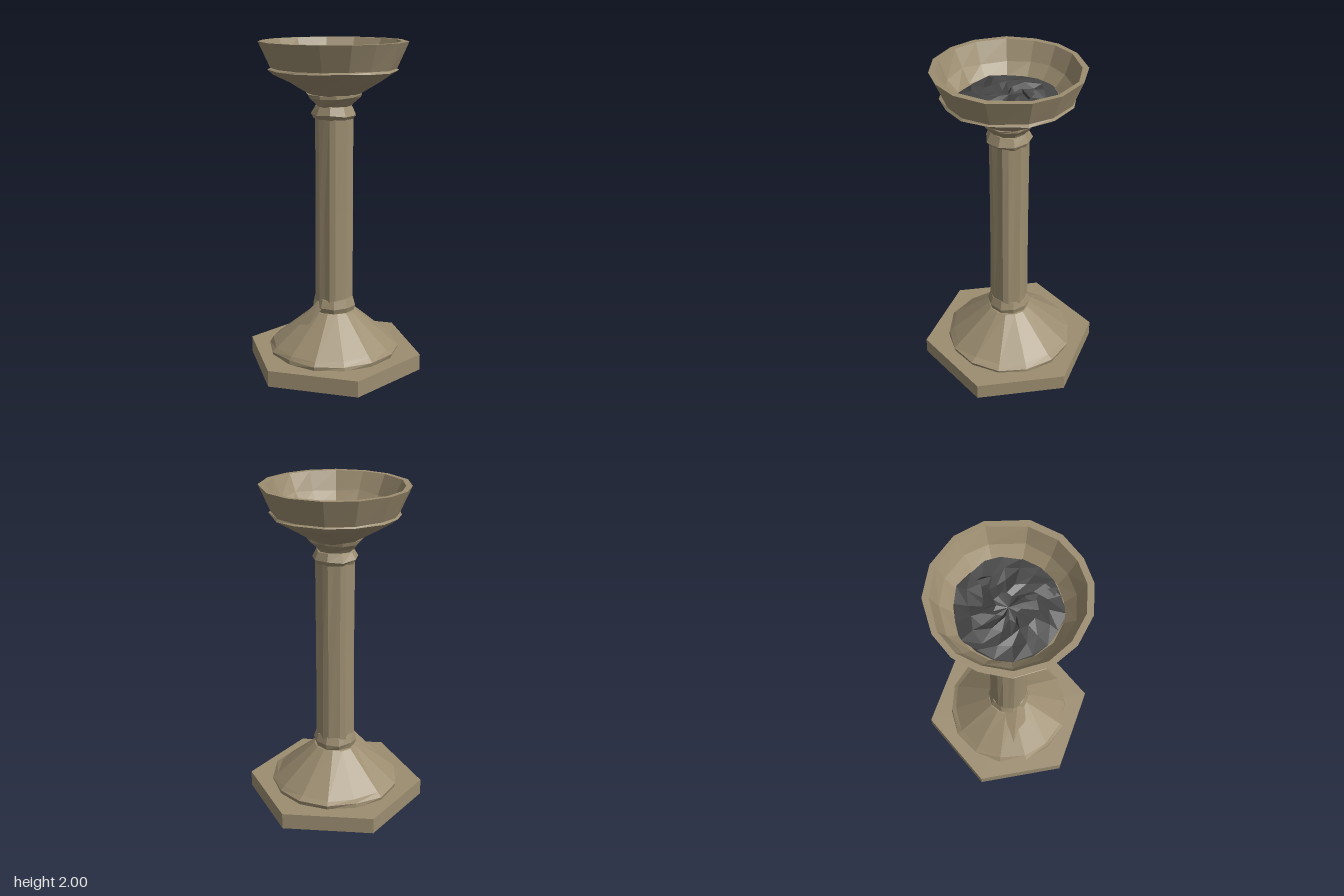
import * as THREE from 'three';
import { ConvexGeometry } from 'three/addons/geometries/ConvexGeometry.js';

const stone = new THREE.MeshStandardMaterial({ color: 0x9c8d70 });
stone.name = 'weathered stone';
const charcoal = new THREE.MeshStandardMaterial({ color: 0x454545 });
charcoal.name = 'charcoal';

// Small seeded generator giving values in -1..1
function seeded(seed) {
  let s = seed;
  return () => {
    s = (s * 16807) % 2147483647;
    return (s / 2147483647) * 2 - 1;
  };
}

// Evenly spaced angles in degrees
const even = (n, start = 0) => Array.from({ length: n }, (_, i) => start + (i * 360) / n);

// Faceted, chipped ring stack. Profile entries: [radius, y, radiusJitter, yJitter]
function chippedRings(profile, angles, seed, radiusRule = () => 1) {
  const rnd = seeded(seed);
  const n = angles.length;
  const pos = [];
  const index = [];
  profile.forEach(([r, y, jr = 0, jy = 0], i) => {
    angles.forEach((deg, j) => {
      const a = THREE.MathUtils.degToRad(deg);
      const rr = r === 0 ? 0 : r * radiusRule(j) + rnd() * jr;
      pos.push(Math.cos(a) * rr, y + (r === 0 ? 0 : rnd() * jy), Math.sin(a) * rr);
      if (i === profile.length - 1) return;
      const a0 = i * n + j;
      const b0 = i * n + ((j + 1) % n);
      index.push(a0, a0 + n, b0, b0, a0 + n, b0 + n);
    });
  });
  const indexed = new THREE.BufferGeometry();
  indexed.setAttribute('position', new THREE.Float32BufferAttribute(pos, 3));
  indexed.setIndex(index);
  const geo = indexed.toNonIndexed();
  geo.computeVertexNormals();
  return geo;
}

export function createModel() {
  const group = new THREE.Group();
  group.name = 'stoneBrazier';
  const add = (name, geo, mat = stone) => {
    const mesh = new THREE.Mesh(geo, mat);
    mesh.name = name;
    group.add(mesh);
    return mesh;
  };

  // Hexagonal plinth with points towards front and back
  const plinth = new THREE.CylinderGeometry(0.55, 0.55, 0.1, 6).toNonIndexed();
  plinth.computeVertexNormals();
  add('plinth', plinth).position.y = 0.05;

  // Sloping foot
  add('foot', chippedRings([
    [0.4, 0.095, 0.005], [0.4, 0.122, 0.008, 0.008], [0.375, 0.145, 0.01, 0.006],
    [0.13, 0.352, 0.004, 0.004], [0.08, 0.36],
  ], even(14, 10), 11));

  // Broken ridge on the front of the foot
  add('footRidge', new ConvexGeometry([
    [-0.18, 0.185, 0.265], [0.03, 0.39, 0.13], [-0.02, 0.425, 0.115],
    [-0.01, 0.3, 0.192], [-0.1, 0.37, 0.07],
  ].map((p) => new THREE.Vector3(...p))));

  // Lower collar
  add('lowerCollar', chippedRings([
    [0.08, 0.35], [0.125, 0.355, 0.003], [0.135, 0.387, 0.003, 0.006],
    [0.118, 0.44, 0.003, 0.008], [0.08, 0.445],
  ], even(10, 8), 23));

  // Shaft with shallow worn flutes
  add('shaft', chippedRings([
    [0.117, 0.4, 0.002], [0.115, 1.0, 0.002], [0.116, 1.56, 0.002],
  ], even(20, 4), 37, (j) => (j % 3 === 1 ? 0.95 : 1.01)));

  // Upper collar
  add('upperCollar', chippedRings([
    [0.08, 1.545], [0.12, 1.548, 0.003], [0.136, 1.573, 0.003, 0.005],
    [0.112, 1.622, 0.004, 0.004], [0.08, 1.63],
  ], even(9, 15), 41));

  // Ragged neck below the bowl
  add('neck', chippedRings([
    [0.1, 1.615], [0.118, 1.637, 0.012, 0.006], [0.158, 1.675, 0.01, 0.007],
    [0.162, 1.695, 0.01, 0.004], [0.1, 1.71],
  ], even(10, 3), 59));

  // Bowl: underside, chipped ledge, flared wall, flat rim and interior
  const bowlAngles = [-10, 12, 32, 55, 79, 101, 127, 150, 170, 191, 218, 243, 270, 293, 325];
  add('bowl', chippedRings([
    [0.1, 1.68], [0.15, 1.69, 0.006, 0.006], [0.26, 1.757, 0.008, 0.006],
    [0.35, 1.814, 0.008, 0.006], [0.385, 1.836, 0.006, 0.006], [0.374, 1.846, 0.004, 0.003],
    [0.44, 2.0, 0.004], [0.405, 2.0, 0.005], [0.355, 1.89, 0.006, 0.01],
    [0.295, 1.815, 0.004], [0, 1.78],
  ], bowlAngles, 73));

  // Rough bed of coals
  add('coals', chippedRings([
    [0.3, 1.795, 0.008], [0.295, 1.825, 0.014, 0.012], [0.22, 1.838, 0.022, 0.02],
    [0.145, 1.842, 0.025, 0.024], [0.07, 1.845, 0.02, 0.022], [0, 1.842],
  ], even(18, 5), 97), charcoal);

  // Loose jagged lumps
  const lumps = [[0, 1.842, -0.2, 0.05], [-0.07, 1.842, -0.08, 0.05], [0.13, 1.842, 0.04, 0.045], [0.24, 1.835, 0.08, 0.035]];
  lumps.forEach(([x, y, z, r], i) => {
    const lump = add('coalLump', new THREE.TetrahedronGeometry(r), charcoal);
    lump.position.set(x, y, z);
    lump.rotation.set(i * 1.3, i * 2.1 + 0.4, i * 0.7);
  });

  return group;
}
